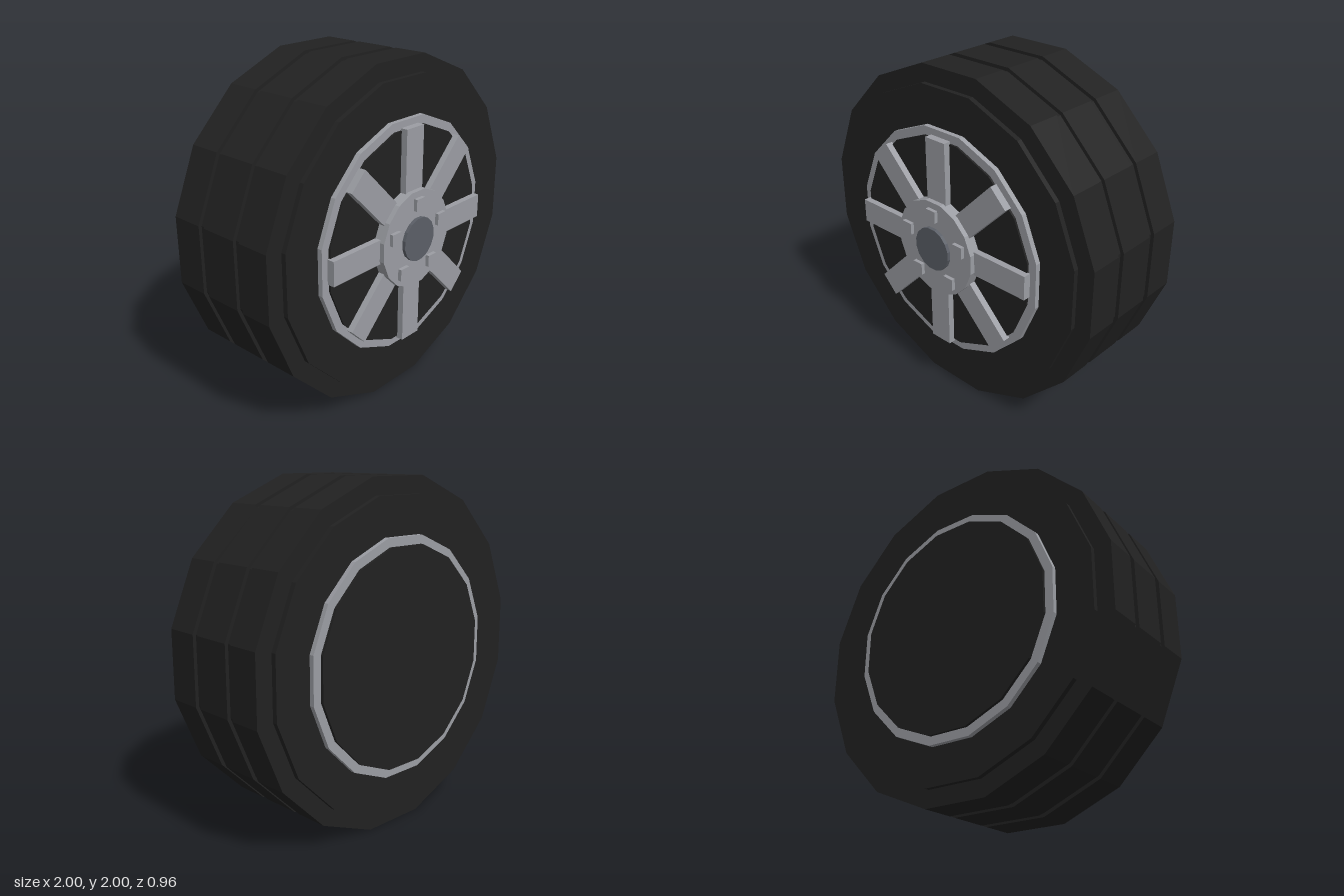
import * as THREE from 'three';

const SIDES = 16;
const FLAT = 1 / Math.cos(Math.PI / SIDES); // flat radius to corner radius

export function createModel() {
  const mat = (name, color) => {
    const m = new THREE.MeshStandardMaterial({ color });
    m.name = name;
    return m;
  };
  const rubber = mat('blackRubber', 0x212121);
  const metal = mat('silverMetal', 0x9b9da3);
  const darkMetal = mat('darkMetal', 0x5b5f67);

  const wheel = new THREE.Group();
  wheel.name = 'wheel';
  wheel.position.y = 1;

  const add = (name, geometry, material, parent = wheel) => {
    const mesh = new THREE.Mesh(geometry, material);
    mesh.name = name;
    parent.add(mesh);
    return mesh;
  };
  // Faceted shape turned so that its axis runs along z
  const faceted = (geometry) => {
    const g = geometry.toNonIndexed();
    g.rotateX(Math.PI / 2);
    g.computeVertexNormals();
    return g;
  };
  const disc = (r, z0, z1) => {
    const g = new THREE.CylinderGeometry(r * FLAT, r * FLAT, z1 - z0, SIDES, 1, false, Math.PI / SIDES);
    return faceted(g.translate(0, (z0 + z1) / 2, 0));
  };

  // Tyre: stepped sidewalls and two tread grooves
  const profile = [
    [0.6, -0.435], [0.9, -0.435], [0.9, -0.405], [1, -0.405],
    [1, -0.205], [0.98, -0.205], [0.98, -0.163], [1, -0.163],
    [1, 0.073], [0.98, 0.073], [0.98, 0.117], [1, 0.117],
    [1, 0.32], [0.9, 0.32], [0.9, 0.35], [0.6, 0.35],
  ].map(([r, z]) => new THREE.Vector2(r * FLAT, z));
  add('tyre', faceted(new THREE.LatheGeometry(profile, SIDES, Math.PI / SIDES)), rubber);

  // Rim and the dark core that stands slightly proud of it on both sides
  add('rim', disc(0.68, -0.463, 0.38), metal);
  add('core', disc(0.63, -0.48, 0.392), rubber);

  // Eight spokes
  const spokes = new THREE.Group();
  spokes.name = 'spokes';
  wheel.add(spokes);
  const spokeGeo = new THREE.BoxGeometry(0.145, 0.545, 0.045).translate(0, 0.3725, 0.4075);
  for (let i = 0; i < 8; i++) {
    add('spoke', spokeGeo, metal, spokes).rotation.z = (i * Math.PI) / 4;
  }

  // Hub, centre cap and five upright lug nuts
  add('hub', disc(0.285, 0.385, 0.46), metal);
  add('centreCap', disc(0.128, 0.455, 0.48), darkMetal);
  const nuts = new THREE.Group();
  nuts.name = 'lugNuts';
  wheel.add(nuts);
  const nutGeo = new THREE.BoxGeometry(0.07, 0.07, 0.03);
  for (let i = 0; i < 5; i++) {
    const a = Math.PI / 2 + (i * Math.PI * 2) / 5;
    add('lugNut', nutGeo, metal, nuts).position.set(0.212 * Math.cos(a), 0.212 * Math.sin(a), 0.467);
  }

  const model = new THREE.Group();
  model.name = 'carWheel';
  model.add(wheel);
  return model;
}
